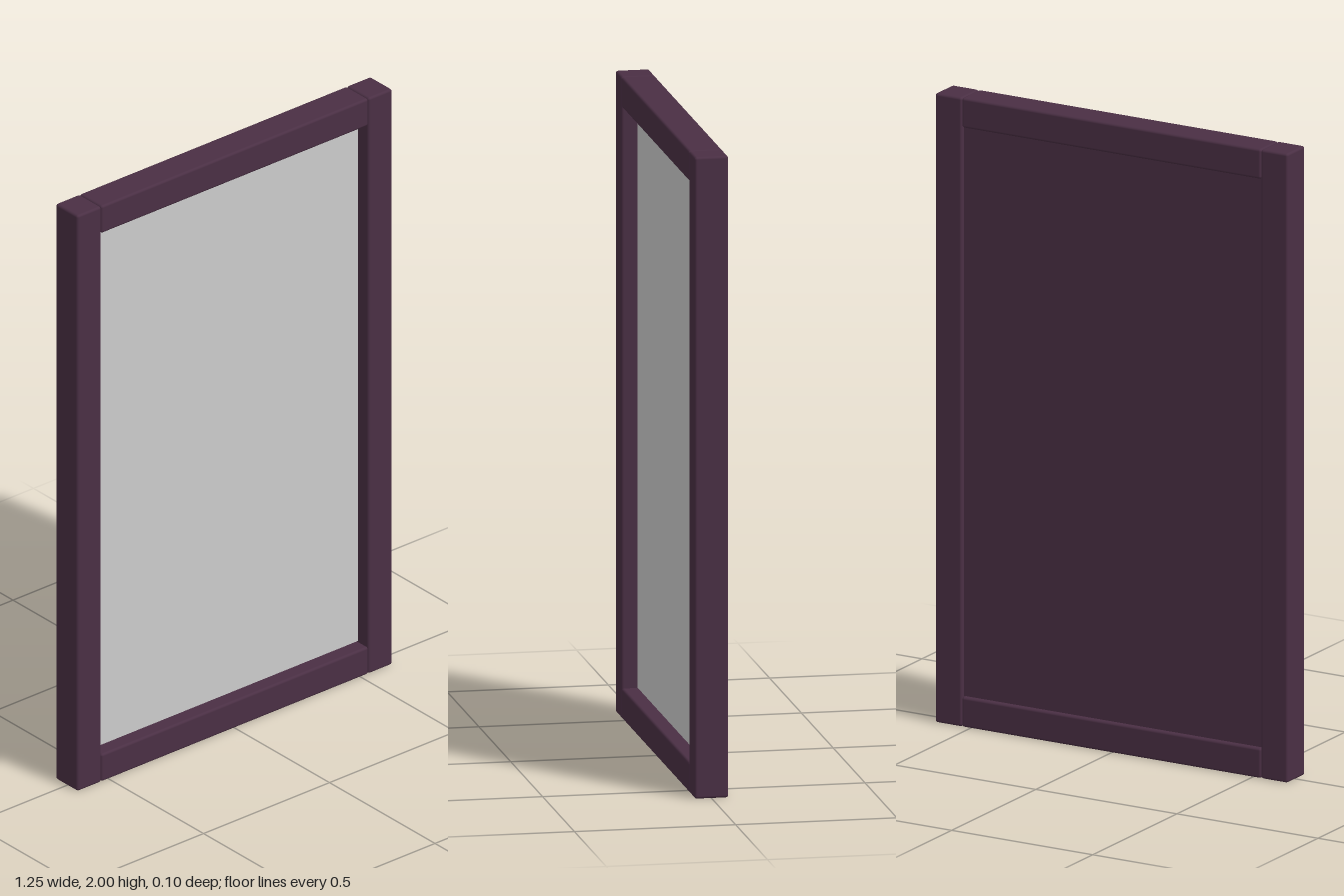
import * as THREE from 'three';
import { RoundedBoxGeometry } from 'three/addons/geometries/RoundedBoxGeometry.js';

export function createModel() {
  const model = new THREE.Group();
  model.name = 'framedMirror';

  const wood = new THREE.MeshStandardMaterial({ color: 0x4a2f44 });
  wood.name = 'dark plum wood';
  const glass = new THREE.MeshStandardMaterial({ color: 0xcccccc });
  glass.name = 'silver glass';

  const width = 1.25, height = 2, depth = 0.105, bar = 0.095, bevel = 0.008;
  const innerW = width - 2 * bar, innerH = height - 2 * bar;

  const add = (name, geometry, material, x, y, z) => {
    const mesh = new THREE.Mesh(geometry, material);
    mesh.name = name;
    mesh.position.set(x, y, z);
    model.add(mesh);
  };

  // Upright posts, full height
  for (const [name, side] of [['leftPost', 1], ['rightPost', -1]]) {
    add(name, new RoundedBoxGeometry(bar, height, depth, 2, bevel), wood,
      side * (width - bar) / 2, height / 2, 0);
  }

  // Rails fitted between the posts
  for (const [name, y] of [['bottomRail', bar / 2], ['topRail', height - bar / 2]]) {
    add(name, new RoundedBoxGeometry(innerW, bar, depth, 2, bevel), wood, 0, y, 0);
  }

  // Backing board, slightly recessed at the rear
  add('backPanel', new THREE.BoxGeometry(innerW, innerH, 0.035), wood, 0, height / 2, -0.0195);

  // Mirror plate set deep inside the frame
  add('mirrorPlate', new THREE.BoxGeometry(innerW, innerH, 0.005), glass, 0, height / 2, 0.0005);

  return model;
}
